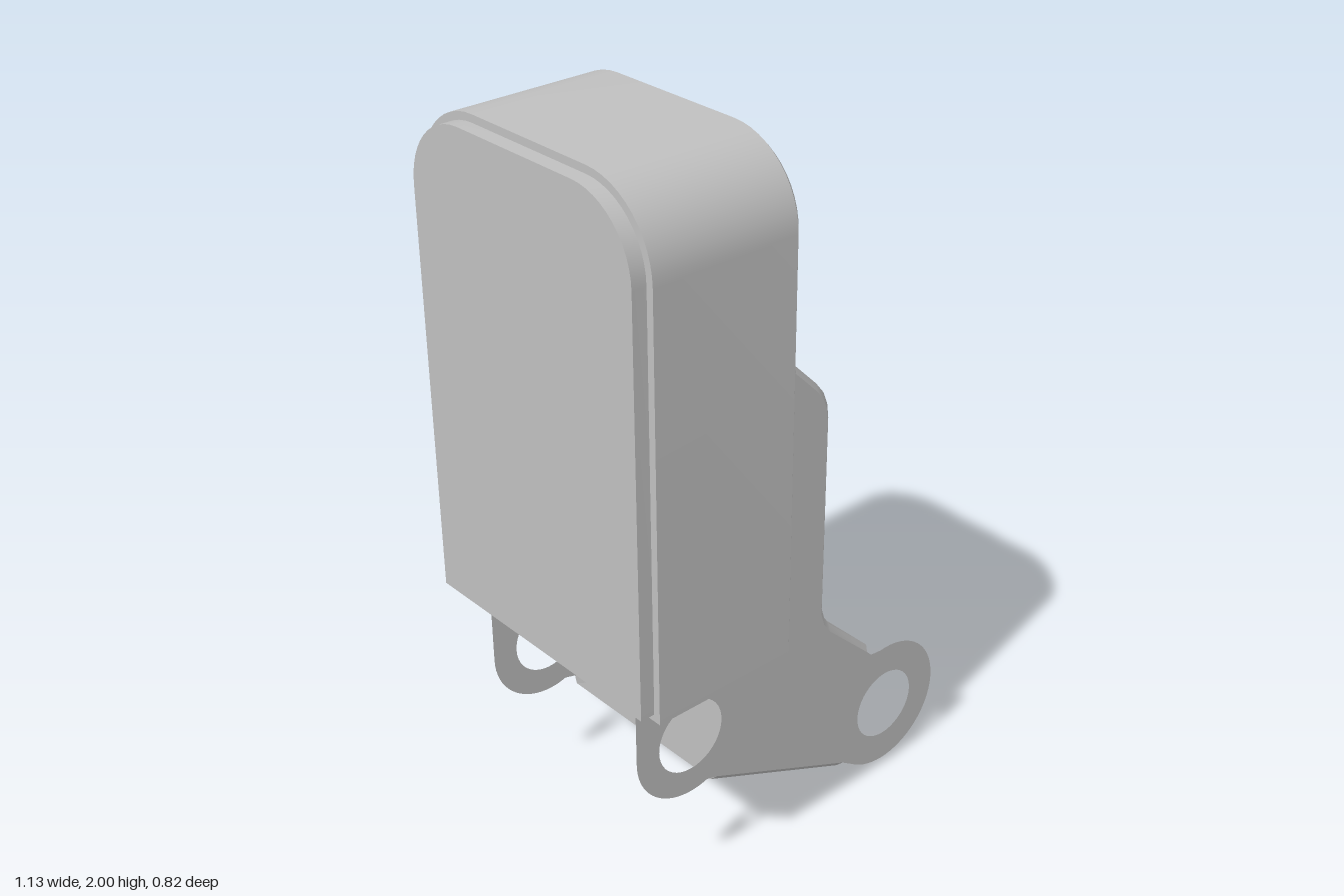
import * as THREE from 'three';
import { toCreasedNormals } from 'three/addons/utils/BufferGeometryUtils.js';

const metal = new THREE.MeshStandardMaterial({ color: 0xc0c0c0, side: THREE.DoubleSide });
metal.name = 'grey metal';
const V = (x, y, z) => new THREE.Vector3(x, y, z);
const rad = THREE.MathUtils.degToRad;

// Points on an arc, angles in degrees
function arc(cx, cy, r, from, to, n = 24) {
  return Array.from({ length: n + 1 }, (_, i) => {
    const a = rad(from + ((to - from) * i) / n);
    return new THREE.Vector2(cx + r * Math.cos(a), cy + r * Math.sin(a));
  });
}

// Surface joining rows of equal length
function sheet(rows) {
  const n = rows[0].length;
  const index = [];
  for (let r = 0; r < rows.length - 1; r++) {
    for (let i = 0; i < n - 1; i++) {
      const a = r * n + i, b = a + n;
      index.push(a, b, a + 1, a + 1, b, b + 1);
    }
  }
  const geo = new THREE.BufferGeometry().setFromPoints(rows.flat());
  geo.setIndex(index);
  return toCreasedNormals(geo, 0.5);
}

// Pad outline with rounded top corners, shrunk by an inset
function padRow(x, inset) {
  const r = 0.21, w = 0.41 - inset, low = 0.67 + inset;
  const pts = [
    new THREE.Vector2(-w, low), new THREE.Vector2(w, low),
    ...arc(0.41 - r, 2 - r, r - inset, 0, 90, 12),
    ...arc(r - 0.41, 2 - r, r - inset, 90, 180, 12),
    new THREE.Vector2(-w, low),
  ];
  return pts.map((p) => V(x, p.y, p.x));
}

export function createModel() {
  const model = new THREE.Group();
  const bracket = new THREE.Group();
  bracket.name = 'bracket';
  model.add(bracket);
  const add = (name, geo, parent = bracket) => {
    const mesh = new THREE.Mesh(geo, metal);
    mesh.name = name;
    parent.add(mesh);
    return mesh;
  };

  // Pad: thin raised face, main block and chamfered rear edge
  const steps = [[-0.57, 0.02], [-0.53, 0.02], [-0.53, 0], [-0.115, 0], [-0.1, 0.015]];
  const padRows = steps.map(([x, inset]) => padRow(x, inset));
  const cap = (row) => row.map((p) => V(p.x, 1.35, 0));
  add('pad', sheet([cap(padRows[0]), ...padRows, cap(padRows[4])]), model);

  // Outer web profile, from the pad down to the open end
  const web = [
    [-0.1, 1.49], [0.09, 1.3], [0.115, 1.268], [0.13, 1.23], [0.135, 1.19], [0.135, 1.0],
    [0.135, 0.7], [0.135, 0.625], [0.145, 0.593], [0.165, 0.565], [0.31, 0.43],
  ].map(([x, y]) => new THREE.Vector2(x, y));
  const base = [new THREE.Vector2(0.215, 0.07), new THREE.Vector2(-0.25, 0.275)];
  const insetPath = (path, d) => path.map((p, i) => {
    const t = path[Math.min(i + 1, path.length - 1)].clone().sub(path[Math.max(i - 1, 0)]).normalize();
    return new THREE.Vector2(p.x + t.y * d, p.y - t.x * d);
  });
  const webIn = insetPath(web, 0.016);
  const baseIn = insetPath(base, 0.016);
  const row = (pts, z) => pts.map((p) => V(p.x, p.y, z));

  // Folded web above and below its flat pierced panel
  add('upperWeb', sheet([row(web.slice(0, 6), 0.275), row(web.slice(0, 6), -0.275)]));
  add('lowerWeb', sheet([row(web.slice(6), 0.275), row(web.slice(6), -0.275)]));
  const panel = new THREE.Shape([[-0.275, 0.7], [0.275, 0.7], [0.275, 1], [-0.275, 1]]
    .map(([x, y]) => new THREE.Vector2(x, y)));
  for (const s of [-1, 1]) {
    panel.holes.push(new THREE.Path().absarc(s * 0.197, 0.84, 0.077, 0, Math.PI * 2, true));
    // Tapered rim of each rivet hole
    const rim = add('holeRim', new THREE.CylinderGeometry(0.077, 0.061, 0.025, 32, 1, true));
    rim.rotation.z = -Math.PI / 2;
    rim.position.set(0.1225, 0.84, s * 0.197);
  }
  const webPanel = add('webPanel', new THREE.ShapeGeometry(panel, 16));
  webPanel.rotation.y = Math.PI / 2;
  webPanel.position.x = 0.135;

  // Sloping bottom plate
  add('bottomPlate', sheet([row(baseIn, 0.29), row(base, 0.275), row(base, -0.275), row(baseIn, -0.29)]));

  // Side plate with two round lugs
  const side = new THREE.Shape([
    ...webIn,
    new THREE.Vector2(0.315, 0.402),
    ...arc(0.375, 0.21, 0.19, 97, -122, 40),
    ...baseIn,
    ...arc(-0.33, 0.465, 0.175, -72, -180, 20),
    new THREE.Vector2(-0.505, 0.658),
    new THREE.Vector2(-0.098, 0.658),
  ]);
  for (const [x, y, r] of [[0.375, 0.21, 0.102], [-0.33, 0.465, 0.103]]) {
    side.holes.push(new THREE.Path().absarc(x, y, r, 0, Math.PI * 2, true));
  }
  const sideGeo = new THREE.ShapeGeometry(side, 20);

  // Curled tongue between the right-hand lugs
  const curl = (r, z) => row(arc(0.375, 0.21, r, 107, 180, 16), z);
  add('tongue', sheet([
    curl(0.175, 0.12), curl(0.195, 0.12), curl(0.21, 0.105),
    curl(0.21, -0.105), curl(0.195, -0.12), curl(0.175, -0.12),
  ]));

  // Mirrored side plates, bent edges and curved tongue hooks
  for (const s of [-1, 1]) {
    add('sidePlate', sideGeo).position.z = s * 0.29;
    add('webBend', sheet([row(webIn, s * 0.29), row(web, s * 0.275)]));
    const hook = add('tongueHook', new THREE.RingGeometry(0.175, 0.21, 24, 1, Math.PI, rad(98)));
    hook.position.set(0.375, 0.21, s * 0.12);
  }
  return model;
}
